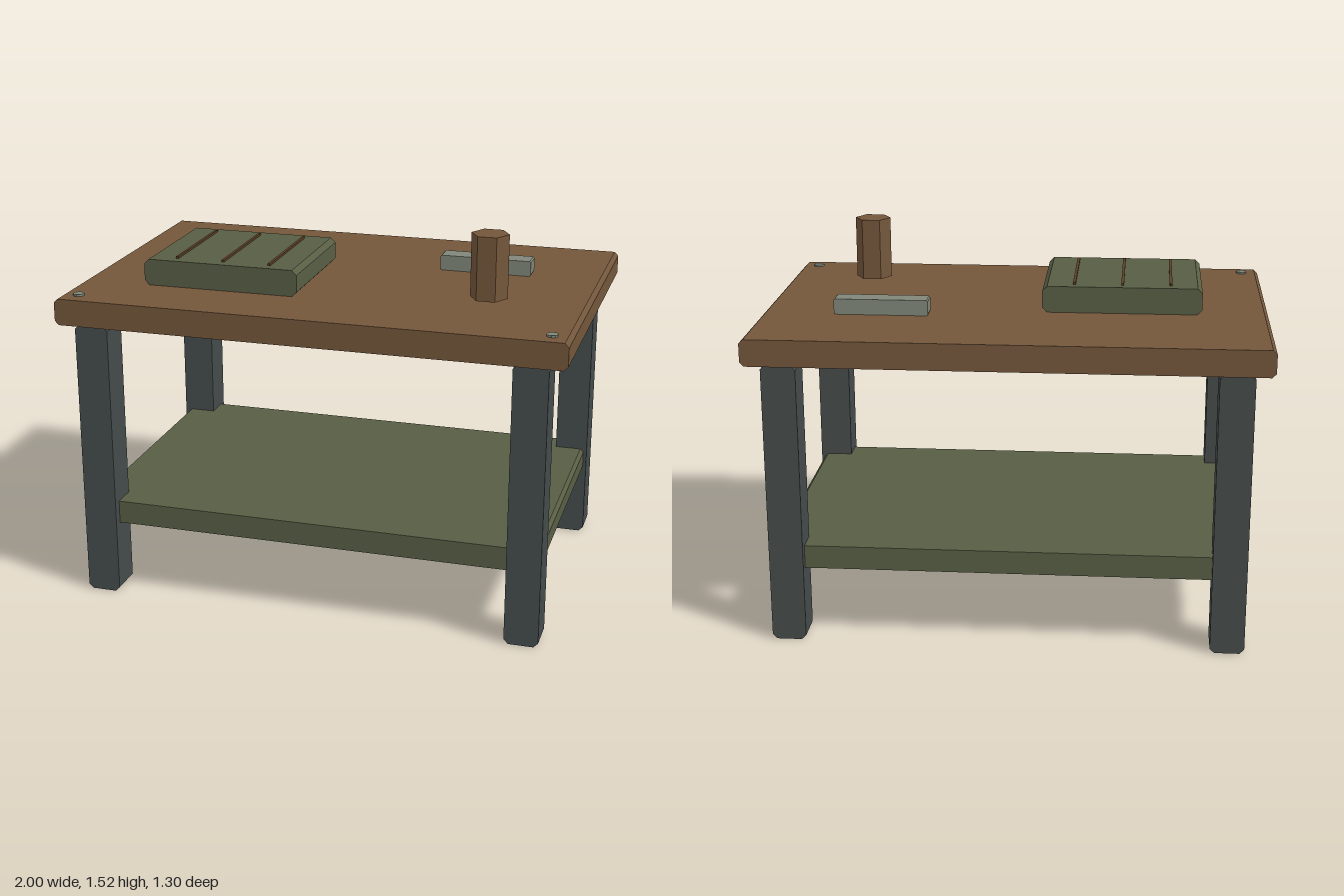
import * as THREE from 'three';

const mat = (color) => new THREE.MeshStandardMaterial({ color, flatShading: true });

// Box from min/max corners whose four long (z) edges are chamfered by c
function chamferBox(x0, x1, y0, y1, z0, z1, c) {
  const shape = new THREE.Shape([
    [x0 + c, y0], [x1 - c, y0], [x1, y0 + c], [x1, y1 - c],
    [x1 - c, y1], [x0 + c, y1], [x0, y1 - c], [x0, y0 + c],
  ].map(([x, y]) => new THREE.Vector2(x, y)));
  return new THREE.ExtrudeGeometry(shape, { depth: z1 - z0, bevelEnabled: false }).translate(0, 0, z0);
}

export function createModel() {
  const group = new THREE.Group();
  const wood = mat(0x73563b), steel = mat(0x454c4b), green = mat(0x585e44);
  const grey = mat(0x80877a), darkWood = mat(0x5a4025);

  const add = (name, geometry, material) => {
    const mesh = new THREE.Mesh(geometry, material);
    mesh.name = name;
    group.add(mesh);
    return mesh;
  };

  // Table body
  add('tableTop', chamferBox(-1, 1, 1.13, 1.235, -0.65, 0.65, 0.016), wood);
  add('lowerShelf', chamferBox(-0.915, 0.915, 0.293, 0.386, -0.59, 0.59, 0.014), green);
  for (const sx of [-1, 1]) {
    for (const sz of [-1, 1]) {
      const x = sx * 0.862, z = sz * 0.558;
      add(`${sz > 0 ? 'front' : 'back'}${sx > 0 ? 'Left' : 'Right'}Leg`,
        chamferBox(x - 0.067, x + 0.067, 0, 1.13, z - 0.067, z + 0.067, 0.018), steel);
    }
    // Bolt heads on the front corners
    add(sx > 0 ? 'leftBolt' : 'rightBolt',
      new THREE.CylinderGeometry(0.022, 0.022, 0.016, 10), grey)
      .position.set(sx * 0.927, 1.235, 0.578);
  }

  // Padded mat with three thin strips
  add('mat', chamferBox(-0.738, -0.107, 1.235, 1.34, -0.158, 0.367, 0.019), green);
  for (const x of [-0.614, -0.423, -0.232]) {
    add('matStrip', new THREE.BoxGeometry(0.011, 0.012, 0.444), darkWood)
      .position.set(x, 1.342, 0.104);
  }

  // Metal bar, and hexagonal block held just above the top
  add('metalBar', chamferBox(0.337, 0.71, 1.235, 1.297, -0.253, -0.17, 0.005), grey);
  add('hexBlock', new THREE.CylinderGeometry(0.073, 0.073, 0.25, 6).rotateY(Math.PI / 6), wood)
    .position.set(0.63, 1.393, 0.272);

  return group;
}
